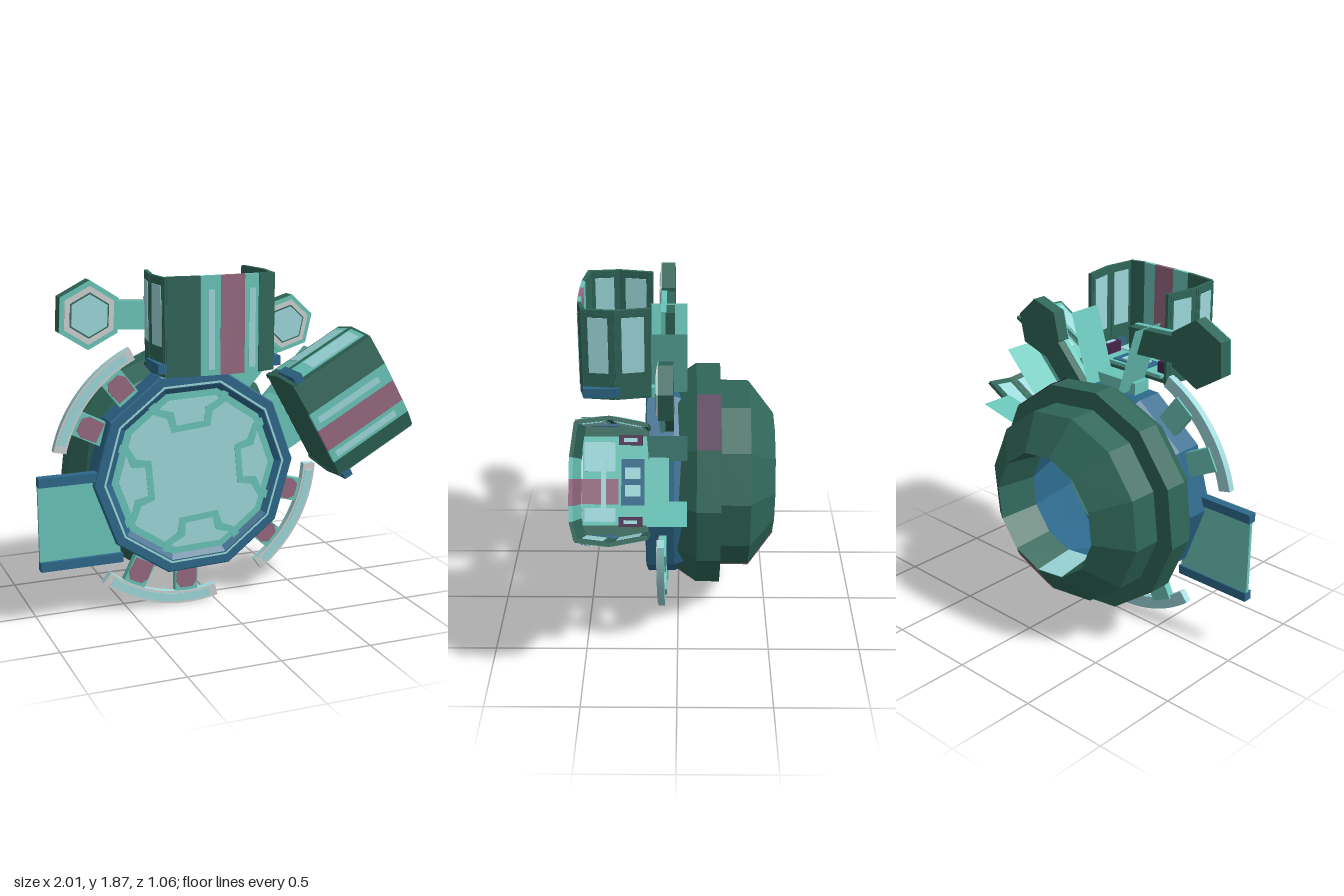
import * as THREE from 'three';

const mat = (name, color) => {
  const m = new THREE.MeshStandardMaterial({ color, flatShading: true, side: THREE.DoubleSide });
  m.name = name;
  return m;
};
const green = mat('darkGreen', 0x2f6658), teal = mat('teal', 0x6ac6ba), cyan = mat('paleCyan', 0x9ed9dc),
  blue = mat('blue', 0x2d688b), rose = mat('rose', 0x976980), plum = mat('plum', 0x47224c), grey = mat('grey', 0xcdd1cf);

const CX = -0.155, CY = 0.765, rad = THREE.MathUtils.degToRad;

function add(parent, name, geo, material, x = 0, y = 0, z = 0) {
  const m = new THREE.Mesh(geo, material);
  m.name = name;
  m.position.set(x, y, z);
  parent.add(m);
  return m;
}
const box = (parent, name, material, w, h, d, x, y, z) =>
  add(parent, name, new THREE.BoxGeometry(w, h, d), material, x, y, z);
function group(parent, name, x = 0, y = 0, deg = 0) {
  const g = new THREE.Group();
  g.name = name;
  g.position.set(x, y, 0);
  g.rotation.z = rad(deg);
  parent.add(g);
  return g;
}
// Faceted ring around the z axis, from [radius, z] pairs
function ring(parent, name, material, profile, sides, startDeg, spanDeg = 360) {
  const pts = profile.map(([r, z]) => new THREE.Vector2(r, z));
  const g = new THREE.LatheGeometry(pts, sides, rad(startDeg + 90), rad(spanDeg)).rotateX(Math.PI / 2);
  add(parent, name, g, material);
}
// Extruded outline
function plate(parent, name, material, points, z, depth) {
  const s = new THREE.Shape(points.map(p => new THREE.Vector2(p[0], p[1])));
  return add(parent, name, new THREE.ExtrudeGeometry(s, { depth, bevelEnabled: false }), material, 0, 0, z);
}
const polygon = (r, n, startDeg) => Array.from({ length: n }, (_, i) => {
  const a = rad(startDeg) + i * 2 * Math.PI / n;
  return [r * Math.cos(a), r * Math.sin(a)];
});
// Flat curved band
function arc(parent, name, material, r0, r1, a0, a1, z, depth) {
  const s = new THREE.Shape();
  s.absarc(0, 0, r1, rad(a0), rad(a1), false);
  s.absarc(0, 0, r0, rad(a1), rad(a0), true);
  add(parent, name, new THREE.ExtrudeGeometry(s, { depth, bevelEnabled: false, curveSegments: 12 }), material, 0, 0, z);
}

function makeBody(root) {
  const g = group(root, 'body', CX, CY);
  const a = 8;
  ring(g, 'hull', green, [[0.53, 0.02], [0.56, 0], [0.63, -0.1], [0.63, -0.23], [0.53, -0.23], [0.53, -0.39], [0.345, -0.53]], 12, a);
  // Rear opening: green lining, then blue inner wall
  ring(g, 'lining', green, [[0.345, -0.53], [0.315, -0.3]], 12, a);
  ring(g, 'liningPanel', cyan, [[0.341, -0.53], [0.311, -0.3]], 1, a - 120, 30);
  ring(g, 'innerWall', blue, [[0.315, -0.3], [0.38, -0.1], [0.46, 0.11]], 12, a);
  // Coloured hull panels
  ring(g, 'sidePanel', plum, [[0.634, -0.1], [0.634, -0.23]], 1, a + 30, 30);
  ring(g, 'lowerPanel', rose, [[0.534, -0.232], [0.534, -0.391], [0.349, -0.533]], 1, a - 90, 30);
  ring(g, 'lowerEdgePanel', rose, [[0.568, -0.005], [0.605, -0.06]], 1, a - 90, 30);

  // Front rim and window with bracket-shaped grooves
  const f = group(root, 'frontRim', CX + 0.02, CY);
  const b = 182;
  ring(f, 'rim', blue, [[0.55, -0.03], [0.57, 0.02], [0.572, 0.165], [0.565, 0.172], [0.5, 0.172], [0.465, 0.15]], 10, b);
  ring(f, 'rimLine', cyan, [[0.517, 0.175], [0.505, 0.175]], 10, b);
  plate(f, 'windowBase', teal, polygon(0.475, 10, b), 0.125, 0.028);
  plate(f, 'windowGlass', cyan, polygon(0.43, 10, b), 0.153, 0.004);
  plate(f, 'windowBack', cyan, polygon(0.36, 10, b), 0.121, 0.004);
  const groove = [[0.42, -0.24], [0.36, -0.21], [0.32, -0.13], [0.24, -0.11], [0.24, 0.11], [0.32, 0.13],
    [0.36, 0.21], [0.42, 0.24], [0.42, 0.19], [0.38, 0.17], [0.35, 0.09], [0.275, 0.08], [0.275, -0.08],
    [0.35, -0.09], [0.38, -0.17], [0.42, -0.19]];
  for (let i = 0; i < 4; i++)
    plate(f, 'windowGroove', teal, groove, 0.157, 0.003).rotation.z = rad(5 + i * 90);
}

function makeRamp(root) {
  const g = group(root, 'ramp');
  box(g, 'rampDeck', teal, 0.44, 0.44, 0.02, -0.78, 0.565, 0.135);
  box(g, 'upperRail', blue, 0.34, 0.05, 0.05, -0.83, 0.795, 0.142);
  box(g, 'lowerRail', blue, 0.45, 0.05, 0.05, -0.775, 0.335, 0.142);
}

// Curved bumpers on pairs of struts
function makeBumper(root, a0, a1, strutAngles) {
  const g = group(root, 'bumper', CX, CY);
  arc(g, 'bumperBar', cyan, 0.695, 0.765, a0, a1, 0.07, 0.035);
  arc(g, 'bumperEdge', grey, 0.695, 0.765, a0, a1, 0.105, 0.003);
  arc(g, 'bumperFace', cyan, 0.707, 0.753, a0 + 3, a1 - 3, 0.108, 0.003);
  for (const a of strutAngles) {
    const s = group(g, 'strut', 0, 0, a);
    box(s, 'strutArm', teal, 0.2, 0.13, 0.04, 0.61, 0, 0.08);
    plate(s, 'strutPatch', rose, [[0.55, -0.055], [0.64, -0.06], [0.675, -0.035], [0.675, 0.035], [0.64, 0.06], [0.55, 0.055]], 0.1, 0.005);
  }
}

// Hexagonal pod on an arm that points at armDeg
function makePod(root, x, y, r, armDeg, armLength) {
  const g = group(root, 'hexPod', x, y, armDeg);
  plate(g, 'podShell', green, polygon(r, 6, 30), 0.02, 0.075);
  plate(g, 'podFace', teal, polygon(r, 6, 30), 0.095, 0.006);
  plate(g, 'podFrame', grey, polygon(r * 0.84, 6, 30), 0.101, 0.004);
  plate(g, 'podGap', green, polygon(r * 0.66, 6, 30), 0.105, 0.003);
  plate(g, 'podGlass', cyan, polygon(r * 0.61, 6, 30), 0.108, 0.003);
  const mid = r * 0.8 + armLength / 2;
  box(g, 'armBack', green, armLength, 0.14, 0.05, mid, 0, 0.045);
  box(g, 'armFront', teal, armLength, 0.15, 0.03, mid, 0, 0.08);
}

// Upright panel between two points of the tower plan
function wall(parent, name, material, [u0, z0], [u1, z1], v0, v1, t) {
  const m = box(parent, name, material, Math.hypot(u1 - u0, z1 - z0), v1 - v0, t, (u0 + u1) / 2, (v0 + v1) / 2, (z0 + z1) / 2);
  m.rotation.y = -Math.atan2(z1 - z0, u1 - u0);
}
const mix = (a, b, t) => [a[0] + (b[0] - a[0]) * t, a[1] + (b[1] - a[1]) * t];

// Open-topped tower: front stripes, bent side walls with windows, rear fins
function makeTower(root, x, y, deg, leftFrame) {
  const g = group(root, 'tower', x, y, deg);
  const front = [[-0.28, 0.485], [-0.11, 0.508], [-0.005, 0.51], [0.125, 0.51], [0.2, 0.508], [0.29, 0.485]];
  [green, teal, rose, teal, green].forEach((m, i) => wall(g, 'frontPanel', m, front[i], front[i + 1], 0, 0.5, 0.02));
  for (const u of [-0.055, 0.165]) box(g, 'frontStripe', cyan, 0.035, 0.4, 0.006, u, 0.23, 0.52);
  const c = 0.005;
  for (const s of [-1, 1]) {
    const side = [[c + s * 0.285, 0.49], [c + s * 0.305, 0.325], [c + s * 0.27, 0.14]];
    for (let i = 0; i < 2; i++) {
      const p = side[i], q = side[i + 1];
      wall(g, 'sideWall', green, p, q, 0, 0.495, 0.02);
      wall(g, 'windowFrame', s < 0 ? leftFrame : green, mix(p, q, 0.1), mix(p, q, 0.9), 0.06, 0.48, 0.024);
      wall(g, 'sideWindow', cyan, mix(p, q, 0.19), mix(p, q, 0.81), 0.15, 0.455, 0.03);
    }
    box(g, 'cornerBlock', blue, 0.05, 0.05, 0.19, c + s * 0.305, 0.045, 0.4);
    box(g, 'console', plum, 0.05, 0.06, 0.12, c + s * 0.21, 0.07, 0.24);
    box(g, 'consoleLight', cyan, 0.02, 0.006, 0.07, c + s * 0.21, 0.102, 0.24);
    // Fin behind the tower, leaning outwards
    const fin = new THREE.PlaneGeometry(0.2, 0.4).rotateY(s * Math.PI / 2).rotateZ(-s * 0.3);
    add(g, 'rearFin', fin, teal, c + s * 0.165, 0.14, 0.05);
  }
  // Floor and neck
  box(g, 'base', green, 0.58, 0.02, 0.34, c, 0.012, 0.32);
  box(g, 'floor', teal, 0.46, 0.02, 0.34, c, 0.03, 0.32);
  box(g, 'floorStripe', rose, 0.13, 0.008, 0.19, 0.06, 0.042, 0.4);
  box(g, 'floorPanel', cyan, 0.15, 0.008, 0.16, -0.12, 0.042, 0.4);
  box(g, 'floorPanel', cyan, 0.07, 0.008, 0.16, 0.18, 0.042, 0.4);
  box(g, 'floorLight', cyan, 0.26, 0.02, 0.025, 0.03, 0.05, 0.38);
  box(g, 'neck', teal, 0.3, 0.12, 0.11, 0.01, -0.06, 0.1);
  box(g, 'neckPanel', blue, 0.24, 0.02, 0.12, 0.01, 0.035, 0.23);
  for (const u of [-0.035, 0.055]) box(g, 'neckLight', cyan, 0.06, 0.008, 0.08, u, 0.047, 0.23);
}

export function createModel() {
  const root = new THREE.Group();
  root.name = 'station';
  makeBody(root);
  makeRamp(root);
  makeBumper(root, 115, 167, [128, 153]);
  makeBumper(root, 230, 283, [243, 269]);
  makeBumper(root, -55, -3, [-41.5, -16]);
  makePod(root, -0.69, 1.64, 0.18, -3, 0.3);
  makePod(root, 0.42, 1.53, 0.16, 227, 0.32);
  makeTower(root, -0.13, 1.37, 0, green);
  makeTower(root, 0.42, 1.02, -61, teal);
  return root;
}
